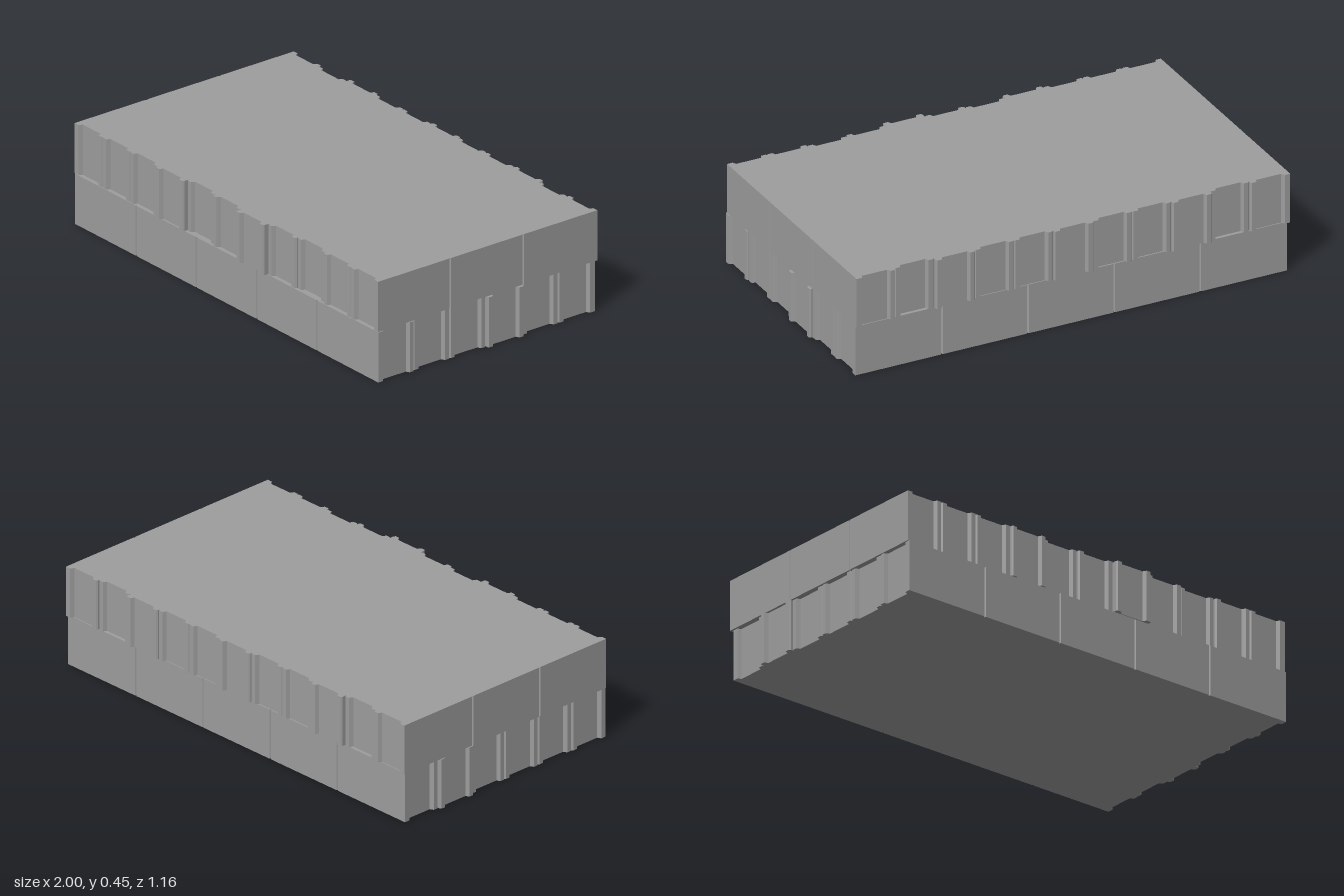
import * as THREE from 'three';

const material = new THREE.MeshStandardMaterial({ color: 0x9d9d9d, flatShading: true });

// Ends of one row of bricks: two rims and a recessed panel each, chamfered where bricks meet.
function brickEnds(width, reaches) {
  const pitch = width / reaches.length;
  const points = reaches.flatMap((reach, i) => {
    const a = -width / 2 + i * pitch, b = a + pitch;
    return [
      [a, reach - 0.007], [a + 0.005, reach], [a + 0.025, reach], [a + 0.033, reach - 0.016],
      [b - 0.033, reach - 0.016], [b - 0.025, reach], [b - 0.005, reach], [b, reach - 0.007],
    ];
  });
  // The outermost corners stay square
  return [
    [-width / 2, reaches[0]], ...points.slice(2, -2), [width / 2, reaches[reaches.length - 1]],
  ];
}

// Long side of a layer, notched where two bricks meet end to end.
function sideNotches(halfWidth, seams) {
  return seams.flatMap((s) => [
    [halfWidth, s + 0.004], [halfWidth - 0.008, s], [halfWidth, s - 0.004],
  ]);
}

// A layer of bricks running along z, extruded upwards from its outline.
function makeLayer(name, width, height, front, back, seams) {
  const side = sideNotches(width / 2, seams);
  const outline = [
    ...brickEnds(width, front),
    ...side,
    ...brickEnds(width, back).reverse().map(([x, z]) => [x, -z]),
    ...side.map(([x, z]) => [-x, z]).reverse(),
  ];
  const shape = new THREE.Shape(outline.map(([x, z]) => new THREE.Vector2(x, -z)));
  const geometry = new THREE.ExtrudeGeometry(shape, { depth: height, bevelEnabled: false });
  geometry.rotateX(-Math.PI / 2);
  const mesh = new THREE.Mesh(geometry, material);
  mesh.name = name;
  return mesh;
}

export function createModel() {
  const group = new THREE.Group();
  group.name = 'brickStack';
  const half = 0.223;

  // Lower layer: six rows of five bricks, running left to right
  const lower = makeLayer('lowerBrickLayer', 1.122, half,
    [0.992, 0.986, 0.986, 1.0, 0.986, 0.987],
    [0.99, 0.986, 0.987, 0.986, 1.0, 0.986],
    [0.59, 0.197, -0.197, -0.59]);
  lower.rotation.y = Math.PI / 2;
  group.add(lower);

  // Upper layer: eleven rows of three bricks, running front to back
  const upper = makeLayer('upperBrickLayer', 1.982, half,
    [0.558, 0.558, 0.558, 0.569, 0.548, 0.558, 0.581, 0.558, 0.548, 0.558, 0.559],
    [0.573, 0.562, 0.581, 0.571, 0.571, 0.581, 0.573, 0.573, 0.581, 0.562, 0.573],
    [0.187, -0.19]);
  upper.position.set(-0.004, half, 0);
  group.add(upper);

  return group;
}
